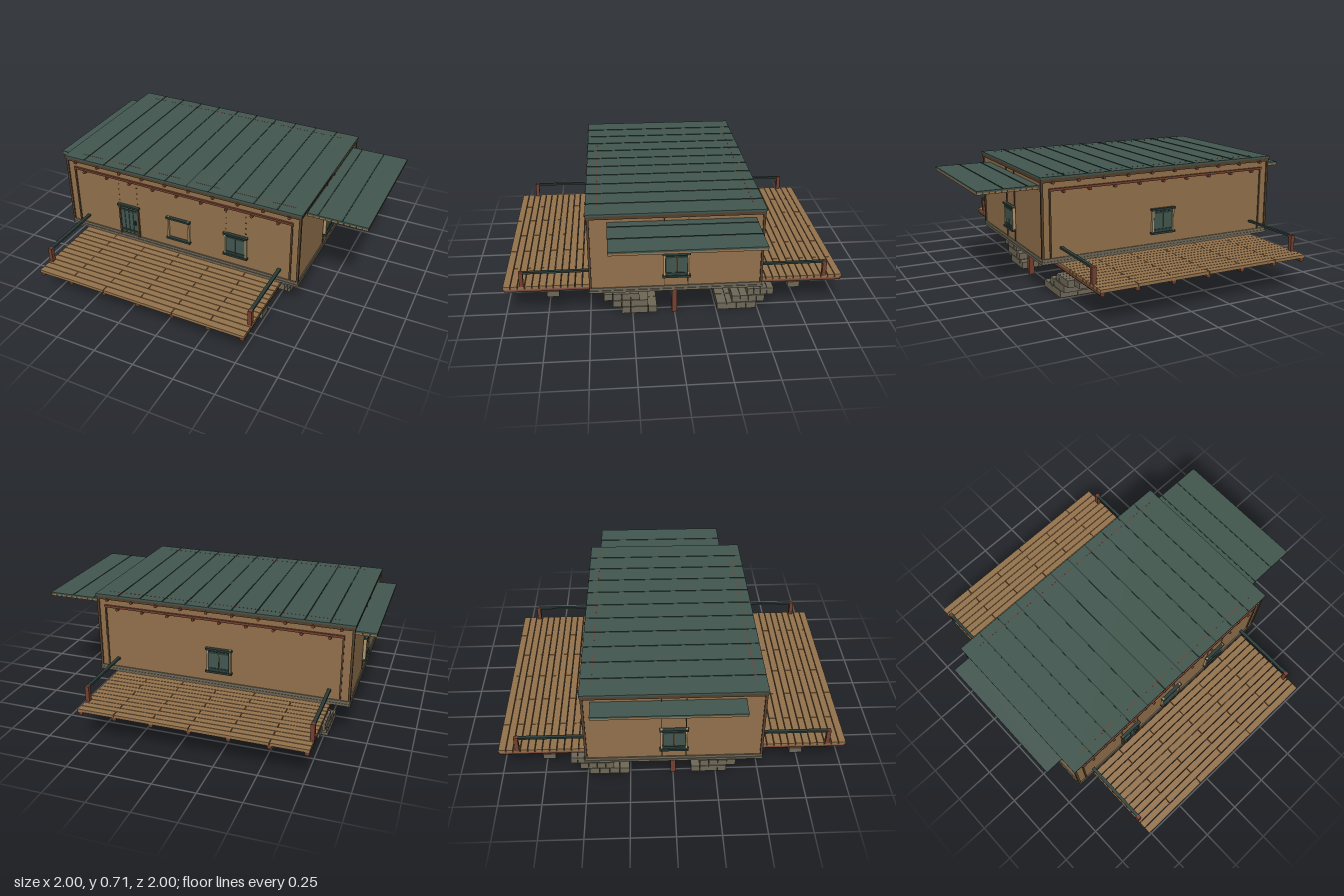
import * as THREE from 'three';

const material = (name, color, extra = {}) => Object.assign(new THREE.MeshStandardMaterial({ color, ...extra }), { name });
const M = {
  wall: material('wall timber', 0x92714c),
  deck: material('deck timber', 0x95734c),
  dark: material('dark timber', 0x54402c),
  red: material('red timber', 0x74402f),
  roof: material('green sheet', 0x42574f),
  seam: material('dark green', 0x2b3c37),
  stone: material('grey stone', 0x6f6858),
  tan: material('pale frame', 0xb0966c),
};

// Box given by its limits on each axis
function box(parent, name, mat, x0, x1, y0, y1, z0, z1) {
  const mesh = new THREE.Mesh(new THREE.BoxGeometry(x1 - x0, y1 - y0, z1 - z0), mat);
  mesh.position.set((x0 + x1) / 2, (y0 + y1) / 2, (z0 + z1) / 2);
  mesh.name = name;
  parent.add(mesh);
  return mesh;
}

// Round pole along z or x
function pole(parent, name, mat, r, len, axis, x, y, z) {
  const mesh = new THREE.Mesh(new THREE.CylinderGeometry(r, r, len, 10), mat);
  if (axis === 'z') mesh.rotation.x = Math.PI / 2;
  if (axis === 'x') mesh.rotation.z = Math.PI / 2;
  mesh.position.set(x, y, z);
  mesh.name = name;
  parent.add(mesh);
}

function group(parent, name) {
  const g = new THREE.Group();
  g.name = name;
  parent.add(g);
  return g;
}

// Rows of blocks filling a box
function masonry(parent, name, x0, x1, y0, y1, z0, z1, nx, nz) {
  const g = group(parent, name), dx = (x1 - x0) / nx, dz = (z1 - z0) / nz, e = 0.002;
  for (let i = 0; i < nx; i++) for (let k = 0; k < nz; k++) {
    box(g, 'block', M.stone, x0 + i * dx + e, x0 + (i + 1) * dx - e, y0 + e / 2, y1 - e / 2,
      z0 + k * dz + e / 2, z0 + (k + 1) * dz - e / 2);
  }
}

// Opening facing +z with its centre on the local origin line; y is measured from the ground
function opening(parent, name, x, z, turn, w, y0, y1, kind) {
  const g = group(parent, name), h = w / 2;
  g.position.set(x, 0, z);
  g.rotation.y = turn;
  for (const s of [-1, 1]) {
    const c = s * (h - 0.011);
    box(g, 'jamb', kind === 'door' ? M.dark : M.tan, c - 0.005, c + 0.005, y0, y1, -0.005, 0.012);
  }
  box(g, 'lintel', M.seam, -h, h, y1 - 0.012, y1, -0.005, 0.018);
  if (kind !== 'door') box(g, 'sill', M.seam, -h, h, y0, y0 + 0.012, -0.005, 0.018);
  if (kind === 'open') return;
  const n = kind === 'door' ? 4 : 2, iw = w - 0.034, step = iw / n;
  for (let i = 0; i < n; i++) {
    const a = -iw / 2 + i * step;
    box(g, 'board', M.roof, a + 0.0015, a + step - 0.0015, y0 + 0.012, y1 - 0.014, 0, 0.008);
  }
  for (const t of [0.16, 0.84]) {
    const y = y0 + (y1 - y0) * t;
    box(g, 'batten', M.seam, -iw / 2, iw / 2, y - 0.006, y + 0.006, 0, 0.012);
  }
  if (kind === 'door') box(g, 'handle', M.seam, iw / 2 - 0.018, iw / 2 - 0.01, 0.33, 0.36, 0, 0.016);
}

export function createModel() {
  const model = new THREE.Group();
  model.name = 'house on deck';
  const X0 = -0.89, X1 = 0.66, D0 = -0.775, D1 = 0.55;

  // Deck: staggered planks on round joists
  const deck = group(model, 'deck');
  const joists = [-0.76, -0.56, -0.335, -0.11, 0.11, 0.33, 0.535];
  const cuts = [[D0, -0.56, -0.11, 0.33, D1], [D0, -0.335, 0.11, D1]];
  const rows = 48, pitch = 2 / rows;
  for (let i = 0; i < rows; i++) {
    const c = cuts[i % 2], z = -1 + i * pitch, g = 0.002;
    const first = i === 0 ? 0 : g, last = i === rows - 1 ? 0 : g;
    for (let k = 0; k < c.length - 1; k++) {
      box(deck, 'plank', M.deck, c[k] + (k ? g : 0), c[k + 1] - (k < c.length - 2 ? g : 0), 0.194, 0.212, z + first, z + pitch - last);
    }
  }
  for (const x of joists) pole(deck, 'joist', M.red, 0.013, 1.99, 'z', x, 0.184, 0);

  // Railings
  for (const x of [-0.765, 0.538]) for (const s of [-1, 1]) {
    box(deck, 'railPost', M.red, x - 0.012, x + 0.012, 0.205, 0.305, s * 0.892 - 0.012, s * 0.892 + 0.012);
    box(deck, 'handrail', M.seam, x - 0.01, x + 0.01, 0.293, 0.305, s * 0.69 - 0.2, s * 0.69 + 0.2);
  }

  // Stone footings: stepped courses and outer rows
  const base = group(model, 'foundation');
  for (let i = 0; i < 3; i++) {
    const y0 = i * 0.046, y1 = y0 + 0.044, o = i * 0.052;
    masonry(base, 'frontCourse', D0, D1, y0, y1, 0.105 + o, 0.315 + o, 12, 4);
    masonry(base, 'backCourse', D0, D1, y0, y1, -0.49 - o, -0.255 - i * 0.09, 12, 4);
  }
  for (const s of [-1, 1]) masonry(base, 'outerRow', D0, D1, 0.135, 0.172, s * 0.712 - 0.037, s * 0.712 + 0.037, 12, 1);
  masonry(base, 'tallCourse', -0.45, 0.22, 0.07, 0.178, -0.335, -0.225, 5, 1);
  masonry(base, 'deepCourse', -0.45, 0.22, 0.05, 0.178, -0.44, -0.335, 5, 1);
  masonry(base, 'middleCourse', -0.45, 0.22, 0.118, 0.178, -0.22, -0.11, 5, 1);
  masonry(base, 'innerCourse', -0.4, 0.15, 0.13, 0.172, -0.11, -0.045, 5, 1);

  // Central beam on posts with diagonal braces
  box(base, 'beam', M.red, D0, D1, 0.15, 0.172, -0.014, 0.014);
  for (let i = 0; i < 5; i++) {
    const x = -0.755 + i * 0.322;
    box(base, 'post', M.red, x - 0.016, x + 0.016, 0, 0.152, -0.015, 0.015);
    for (const s of [-1, 1]) {
      if ((i === 0 && s < 0) || (i === 4 && s > 0)) continue;
      const brace = box(base, 'brace', M.red, -0.007, 0.007, -0.05, 0.05, -0.007, 0.007);
      brace.position.set(x + s * 0.035, 0.118, 0);
      brace.rotation.z = -s * 0.8;
    }
  }

  // House body
  const house = group(model, 'house');
  box(house, 'floorSlab', M.stone, X0, X1, 0.214, 0.228, -0.5, 0.5);
  box(house, 'sillBeam', M.stone, X0 + 0.004, X1 - 0.004, 0.228, 0.244, -0.497, 0.497);
  box(house, 'walls', M.wall, X0 + 0.01, X1 - 0.01, 0.244, 0.69, -0.49, 0.49);
  for (const x of [X0 + 0.009, X1 - 0.009]) for (const z of [-0.49, 0.49]) {
    box(house, 'cornerPost', M.dark, x - 0.007, x + 0.007, 0.244, 0.69, z - 0.007, z + 0.007);
  }
  for (const s of [-1, 1]) {
    // Long-side trim, rails and pole ends
    const z = s * 0.492;
    for (const x of [-0.828, 0.604]) box(house, 'trimPost', M.dark, x - 0.005, x + 0.005, 0.244, 0.63, z - 0.005, z + 0.005);
    box(house, 'upperRail', M.dark, X0 + 0.004, X1 - 0.004, 0.676, 0.69, z - 0.007, z + 0.007);
    box(house, 'lowerRail', M.red, -0.833, 0.61, 0.627, 0.641, z - 0.009, z + 0.009);
    for (let i = 0; i < 10; i++) {
      pole(house, 'upperPoleEnd', M.red, 0.009, 0.03, 'z', -0.815 + i * 0.156, 0.676, s * 0.495);
      if (i < 9) pole(house, 'lowerPoleEnd', M.red, 0.009, 0.03, 'z', -0.755 + i * 0.16, 0.622, s * 0.495);
    }
    // Short-side trim
    const x = s > 0 ? X1 - 0.008 : X0 + 0.008;
    box(house, 'endRail', M.dark, x - 0.006, x + 0.006, 0.676, 0.69, -0.495, 0.495);
    for (const k of [-0.067, 0.067]) box(house, 'endSeam', M.dark, x - 0.004, x + 0.004, 0.244, 0.68, k - 0.002, k + 0.002);
  }
  // Rows of pegs above the openings
  for (const x of [-0.52, -0.395, 0.2, 0.325]) for (let i = 0; i < 5; i++) {
    box(house, 'peg', M.dark, x - 0.003, x + 0.003, 0.477 + i * 0.038, 0.483 + i * 0.038, 0.488, 0.493);
  }

  // Door and windows
  opening(house, 'frontDoor', -0.457, 0.492, 0, 0.15, 0.244, 0.46, 'door');
  opening(house, 'frontOpenWindow', -0.113, 0.492, 0, 0.16, 0.305, 0.46, 'open');
  opening(house, 'frontShutterWindow', 0.263, 0.492, 0, 0.155, 0.305, 0.46, 'shutter');
  opening(house, 'backWindow', -0.113, -0.5, Math.PI, 0.16, 0.305, 0.46, 'shutter');
  opening(house, 'leftWindow', X1 - 0.002, 0, Math.PI / 2, 0.16, 0.305, 0.46, 'shutter');
  opening(house, 'rightWindow', X0 + 0.002, 0, -Math.PI / 2, 0.16, 0.305, 0.46, 'shutter');

  // Main roof: timber edge, green sheets and standing seams
  const roof = group(model, 'roof');
  box(roof, 'roofBoard', M.dark, X0, X1, 0.688, 0.697, -0.5, 0.5);
  box(roof, 'roofSheet', M.roof, X0 - 0.002, X1 + 0.002, 0.697, 0.709, -0.503, 0.503);
  for (let i = 1; i < 11; i++) {
    const x = -0.89 + i * 0.1405;
    box(roof, 'roofSeam', M.seam, x - 0.003, x + 0.003, 0.7, 0.712, -0.503, 0.503);
  }
  for (const z of [-0.44, 0.44]) box(roof, 'roofBatten', M.red, -0.8, 0.6, 0.706, 0.7095, z - 0.0015, z + 0.0015);

  // Side awnings with boarded undersides
  const awning = group(model, 'awnings');
  for (const [a, b] of [[-1, X0 + 0.01], [X1 - 0.01, 1]]) {
    box(awning, 'awningSheet', M.roof, a, b, 0.646, 0.656, -0.445, 0.385);
    const n = Math.round((b - a) / 0.035), w = (b - a) / n;
    for (let i = 0; i < n; i++) {
      box(awning, 'awningBoard', M.deck, a + i * w + 0.0015, a + (i + 1) * w - 0.0015, 0.634, 0.646, -0.443, 0.383);
    }
  }
  for (const x of [0.71, 0.85]) box(awning, 'awningSeam', M.seam, x - 0.003, x + 0.003, 0.65, 0.659, -0.445, 0.385);
  return model;
}
